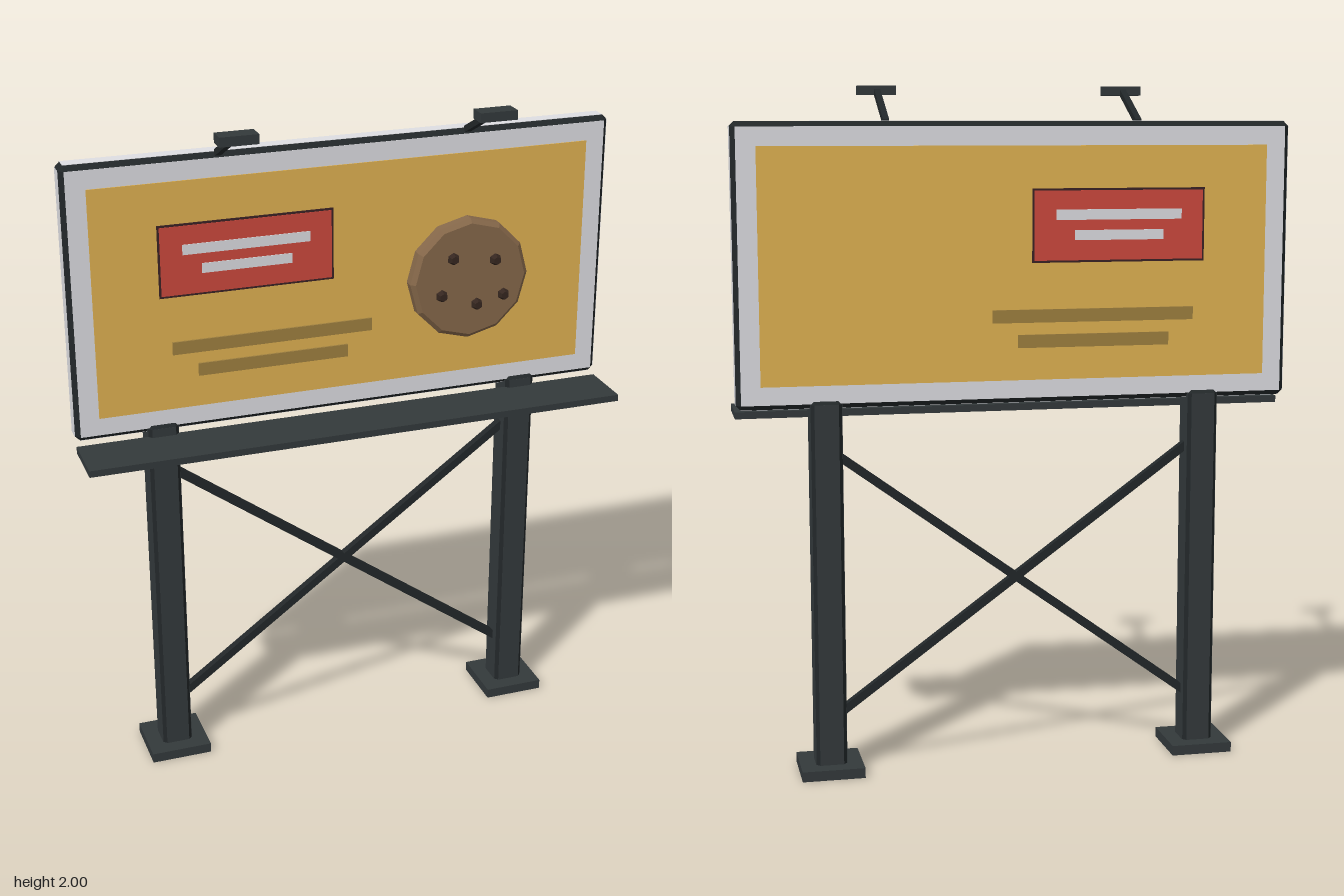
import * as THREE from 'three';
import { ConvexGeometry } from 'three/addons/geometries/ConvexGeometry.js';

const material = (color) => new THREE.MeshStandardMaterial({ color, flatShading: true });

const STEEL = material(0x33393b);
const EDGE = material(0x222729);
const WHITE = material(0xdedee2);
const YELLOW = material(0xe0b252);
const RED = material(0xcd493d);
const MAROON = material(0x3a2224);
const OCHRE = material(0x9f803f);
const BISCUIT = material(0x86684a);
const CHIP = material(0x35261f);

const MID_Z = -0.08; // centre plane of board and posts

export function createModel() {
  const model = new THREE.Group();

  const add = (name, geometry, mat, x = 0, y = 0, z = 0, parent = model) => {
    const mesh = new THREE.Mesh(geometry, mat);
    mesh.name = name;
    mesh.position.set(x, y, z);
    parent.add(mesh);
    return mesh;
  };
  const box = (name, w, h, d, mat, x, y, z, parent) =>
    add(name, new THREE.BoxGeometry(w, h, d), mat, x, y, z, parent);

  // Box with chamfered edges in one colour and flat faces in another
  const chamferedBox = (name, w, h, d, c, faceMat, edgeMat, x, y, z) => {
    const group = new THREE.Group();
    group.name = name;
    group.position.set(x, y, z);
    const points = [];
    for (const sx of [-0.5, 0.5]) for (const sy of [-0.5, 0.5]) for (const sz of [-0.5, 0.5]) {
      const inset = 2 * c;
      points.push(
        new THREE.Vector3(sx * w, sy * (h - inset), sz * (d - inset)),
        new THREE.Vector3(sx * (w - inset), sy * h, sz * (d - inset)),
        new THREE.Vector3(sx * (w - inset), sy * (h - inset), sz * d));
    }
    add(name + 'Edges', new ConvexGeometry(points), edgeMat, 0, 0, 0, group);
    const e = 0.002, i = 2 * c;
    box(name + 'SideFaces', w + e, h - i, d - i, faceMat, 0, 0, 0, group);
    box(name + 'EndFaces', w - i, h + e, d - i, faceMat, 0, 0, 0, group);
    box(name + 'BroadFaces', w - i, h - i, d + e, faceMat, 0, 0, 0, group);
    model.add(group);
  };

  // Square bar running between two points
  const bar = (name, a, b, thickness, mat) => {
    const mesh = box(name, thickness, thickness, a.distanceTo(b), mat, 0, 0, 0);
    mesh.position.copy(a).lerp(b, 0.5);
    mesh.lookAt(b);
  };

  // Board and the artwork shared by its front and back
  chamferedBox('boardFrame', 1.63, 0.81, 0.07, 0.014, WHITE, EDGE, 0, 1.493, MID_Z);
  box('posterPanel', 1.49, 0.675, 0.078, YELLOW, 0, 1.492, MID_Z);
  box('labelBorder', 0.515, 0.213, 0.084, MAROON, -0.298, 1.601, MID_Z);
  box('label', 0.503, 0.201, 0.087, RED, -0.298, 1.601, MID_Z);
  box('upperLabelStripe', 0.375, 0.03, 0.091, WHITE, -0.298, 1.632, MID_Z);
  box('lowerLabelStripe', 0.265, 0.029, 0.091, WHITE, -0.298, 1.573, MID_Z);
  box('upperPosterStripe', 0.6, 0.038, 0.09, OCHRE, -0.224, 1.341, MID_Z);
  box('lowerPosterStripe', 0.452, 0.038, 0.09, OCHRE, -0.224, 1.268, MID_Z);

  // Raised biscuit on the front
  const profile = [[0, 0], [0.185, 0], [0.185, 0.03], [0.172, 0.042], [0, 0.042]]
    .map(([r, y]) => new THREE.Vector2(r, y));
  const biscuit = new THREE.Group();
  biscuit.name = 'biscuit';
  biscuit.position.set(0.371, 1.456, -0.042);
  biscuit.rotation.x = Math.PI / 2;
  model.add(biscuit);
  add('biscuitDisc', new THREE.LatheGeometry(profile, 12), BISCUIT, 0, 0, 0, biscuit);
  const chips = [[-0.056, 0.07], [0.077, 0.054], [-0.09, -0.041], [0.021, -0.078], [0.106, -0.057]];
  for (const [x, y] of chips) {
    add('biscuitChip', new THREE.CylinderGeometry(0.012, 0.02, 0.02, 6), CHIP, x, 0.049, -y, biscuit);
  }

  // Posts, base plates and lamps, one per side
  for (const side of [-1, 1]) {
    chamferedBox('post', 0.09, 1.09, 0.09, 0.01, STEEL, EDGE, side * 0.56, 0.565, MID_Z);
    box('basePlate', 0.184, 0.03, 0.184, STEEL, side * 0.56, 0.015, MID_Z);

    const x = side * 0.371;
    bar('lampArm', new THREE.Vector3(x, 1.895, -0.055), new THREE.Vector3(x, 1.985, 0.125), 0.018, EDGE);
    box('lampHead', 0.11, 0.027, 0.054, STEEL, x, 1.9865, 0.143);

    // Diagonal brace
    bar('crossBrace', new THREE.Vector3(side * 0.525, 0.945, MID_Z),
      new THREE.Vector3(-side * 0.525, 0.178, MID_Z), 0.024, EDGE);
  }

  // Service walkway below the board
  box('walkway', 1.63, 0.02, 0.172, STEEL, 0, 1.065, 0.039);

  return model;
}
